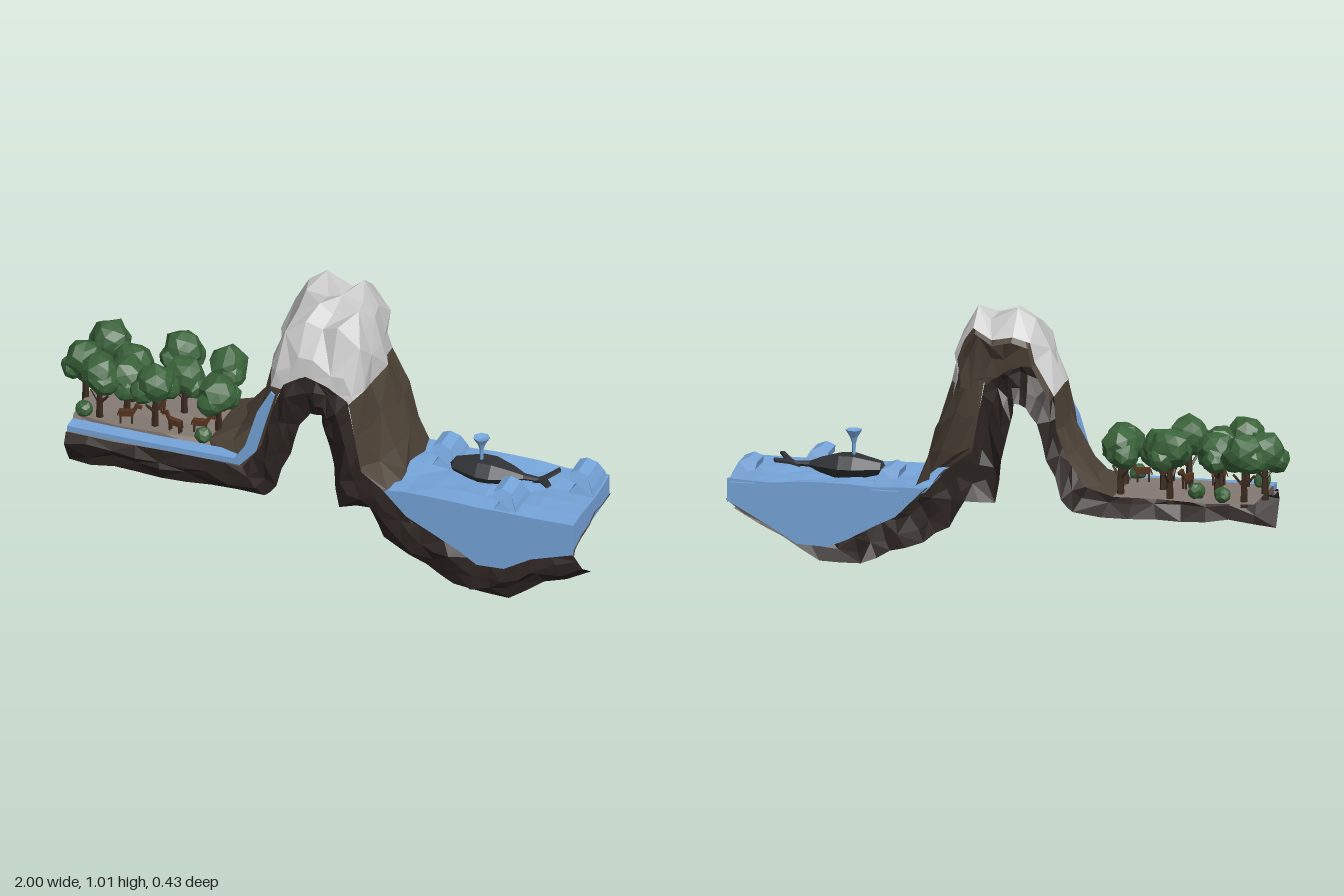
import * as THREE from 'three';

let seed = 7;
const rnd = () => { seed = (seed * 16807) % 2147483647; return seed / 2147483647 - 0.5; };
const mat = color => new THREE.MeshStandardMaterial({ color, flatShading: true, side: THREE.DoubleSide });
const M = {
  rock: mat(0x4d4237), band: mat(0x2d2522), snow: mat(0xd6d6d6), ground: mat(0x857a73), bed: mat(0x4b4643),
  water: mat(0x76a5da), leaf: mat(0x3a633a), trunk: mat(0x3a2a1e), whale: mat(0x303236), hide: mat(0x55331f),
};

function add(parent, name, geo, material, x = 0, y = 0, z = 0) {
  const m = new THREE.Mesh(geo, material);
  m.name = name;
  m.position.set(x, y, z);
  parent.add(m);
  return m;
}

// Sheet through rows of points, limited to columns a..b
function sheet(rows, a = 0, b = rows[0].length - 1) {
  const pos = [], index = [], n = b - a + 1;
  rows.forEach(r => r.slice(a, b + 1).forEach(p => pos.push(...p)));
  for (let j = 0; j < rows.length - 1; j++) for (let i = 0; i < n - 1; i++) {
    const k = j * n + i;
    if ((i + j) % 2) index.push(k, k + 1, k + n, k + 1, k + n + 1, k + n);
    else index.push(k, k + 1, k + n + 1, k, k + n + 1, k + n);
  }
  const g = new THREE.BufferGeometry();
  g.setAttribute('position', new THREE.Float32BufferAttribute(pos, 3));
  g.setIndex(index);
  const flat = g.toNonIndexed();
  flat.computeVertexNormals();
  return flat;
}

function extrude(points, depth) {
  const s = new THREE.Shape(points.map(p => new THREE.Vector2(...p)));
  return new THREE.ExtrudeGeometry(s, { depth, bevelEnabled: false });
}

// Adds the midpoint of every segment of a line
const densify = line => line.flatMap((p, i) => i ? [p.map((v, c) => (v + line[i - 1][c]) / 2), p] : [p]);

// Ground, mountain and lake bed: front and rear profiles blended over z
const frontLine = [[-0.92, 0.343], [-0.75, 0.343], [-0.58, 0.343], [-0.4, 0.343], [-0.27, 0.345], [-0.2, 0.45],
  [-0.155, 0.62], [-0.13, 0.69], [-0.12, 0.71], [-0.1, 0.725], [-0.06, 0.75], [-0.02, 0.755], [0.04, 0.735],
  [0.08, 0.71], [0.1, 0.7], [0.12, 0.68], [0.14, 0.56], [0.165, 0.42], [0.24, 0.365],
  [0.35, 0.255], [0.44, 0.21], [0.52, 0.17], [0.59, 0.13], [0.7, 0.135], [0.8, 0.19], [0.87, 0.22], [0.95, 0.25]];
const rearLine = [[-0.92, 0.38], [-0.75, 0.375], [-0.58, 0.38], [-0.42, 0.38], [-0.35, 0.42], [-0.27, 0.52],
  [-0.235, 0.62], [-0.21, 0.74], [-0.165, 0.86], [-0.125, 0.95], [-0.05, 0.985], [0.02, 0.965], [0.085, 0.995],
  [0.135, 0.9], [0.15, 0.8], [0.165, 0.71], [0.21, 0.58], [0.24, 0.45], [0.28, 0.36],
  [0.35, 0.265], [0.44, 0.22], [0.52, 0.175], [0.59, 0.145], [0.7, 0.15], [0.8, 0.21], [0.87, 0.25], [0.95, 0.295]];

function buildTerrain(g) {
  const steps = [[0.187, 0], [0.18, 0.25], [0.12, 0.75], [0.045, 0.92], [-0.03, 1], [-0.1, 1.03], [-0.175, 0.84]];
  const rows = steps.map(([z, t], r) => frontLine.map(([x, y], i) => {
    const [bx, by] = rearLine[i];
    const plain = i < 4, lake = i > 17, peak = i > 6 && i < 16;
    const w = r === 0 ? 0 : plain ? 0.006 : lake ? 0.028 : 0.04;
    const inner = r > 1 && r < steps.length - 1 ? 0.025 : 0;
    // The stream channel stays low along the front of the plain
    const u = plain ? (r < 2 ? 0 : 1) : lake ? Math.min(1, t * 1.3) : t;
    const edge = i === 0 || i === 26 ? 0 : w;
    return [x + (bx - x) * u + rnd() * edge, y + (by - y) * u + rnd() * w * (peak ? 1.2 : 1),
      (plain && r === 1 ? 0.132 : z) + rnd() * inner];
  }));
  add(g, 'ground', sheet(rows, 0, 3), M.ground);
  add(g, 'leftSlope', sheet(rows, 3, 7), M.rock);
  add(g, 'snowCap', sheet(rows, 7, 15), M.snow);
  add(g, 'rightSlope', sheet(rows, 15, 18), M.rock);
  add(g, 'lakeBed', sheet([...rows].reverse(), 18, 26), M.bed);
  // Rock lining beneath the snow
  const lining = rows.map(r => r.map(([x, y, z]) => [x * 0.93, y - 0.02, z - 0.002]));
  add(g, 'innerRock', sheet(lining, 7, 15), M.rock);
}

// Rough dark rock along the cut front
function buildCutFace(g) {
  const top = densify([[-0.92, 0.35], [-0.75, 0.345], [-0.58, 0.35], [-0.4, 0.35], [-0.27, 0.345], [-0.2, 0.45],
    [-0.155, 0.62], [-0.12, 0.71], [-0.04, 0.76], [0.04, 0.735], [0.115, 0.69], [0.14, 0.56], [0.165, 0.42],
    [0.24, 0.367], [0.33, 0.275], [0.42, 0.23], [0.52, 0.18], [0.59, 0.135], [0.69, 0.14], [0.79, 0.2], [0.945, 0.25]]);
  const low = densify([[-0.92, 0.22], [-0.75, 0.23], [-0.58, 0.225], [-0.4, 0.225], [-0.2, 0.23], [-0.16, 0.28],
    [-0.11, 0.42], [-0.07, 0.54], [-0.03, 0.6], [0.01, 0.6], [0.02, 0.54], [0.05, 0.4], [0.08, 0.25], [0.18, 0.25],
    [0.24, 0.16], [0.33, 0.1], [0.45, 0.06], [0.55, 0.005], [0.7, 0.005], [0.82, 0.09], [1, 0.18]]);
  const rows = [[0, 0.187], [0.3, 0.197], [0.65, 0.187], [1, 0.158]].map(([t, z]) => top.map(([x, y], i) => {
    const w = t === 0 ? 0 : t === 1 ? 0.4 : 1;
    const end = i === 0 || i === top.length - 1 ? 0 : w;
    return [x + (low[i][0] - x) * t + rnd() * 0.016 * end, y + (low[i][1] - y) * t + rnd() * 0.032 * end,
      z + rnd() * (t ? 0.03 : 0)];
  }));
  add(g, 'cutFace', sheet(rows.reverse()), M.band);
}

function buildWater(g) {
  // Lake body: front wall, rippled top, rear wall and end wall
  const frontFoot = [[0.245, 0.362], [0.33, 0.268], [0.42, 0.223], [0.52, 0.173], [0.59, 0.128], [0.69, 0.133], [0.79, 0.19], [0.945, 0.245]];
  const rearFoot = [[0.27, 0.36], [0.35, 0.265], [0.44, 0.22], [0.52, 0.175], [0.59, 0.145], [0.7, 0.15], [0.8, 0.21], [0.945, 0.29]];
  const tops = [0.186, 0.11, 0.04, -0.03, -0.1, -0.174].map(z => frontFoot.map(([x]) => [x, 0.366 + rnd() * 0.014, z]));
  const foot = (line, z) => line.map(([x, y]) => [x, y, z]);
  add(g, 'lake', sheet([foot(frontFoot, 0.186), ...tops, foot(rearFoot, -0.174)]), M.water);
  const end = tops.map(r => r[7]);
  add(g, 'lakeEnd', sheet([end.map(([x, , z], i) => [x, i ? 0.285 : 0.245, z]), end]), M.water);
  const stream = [[-0.915, 0.374], [-0.6, 0.371], [-0.3, 0.375], [-0.262, 0.43], [-0.217, 0.58], [-0.168, 0.67],
    [-0.152, 0.66], [-0.185, 0.55], [-0.22, 0.42], [-0.28, 0.352], [-0.915, 0.352]];
  add(g, 'streamAndWaterfall', extrude(stream, 0.054), M.water, 0, 0, 0.134);
  // Curling waves, narrower at the crest
  const curl = [[-0.05, -0.01], [-0.02, 0.03], [-0.045, 0.035], [-0.05, 0.06], [-0.02, 0.075], [0.015, 0.06], [0.035, 0.02], [0.045, -0.01]];
  for (const [x, z] of [[0.39, -0.1], [0.69, 0.105], [0.895, -0.1]]) {
    const geo = extrude(curl, 0.15).translate(0, 0, -0.075);
    const p = geo.attributes.position;
    for (let i = 0; i < p.count; i++) p.setZ(i, p.getZ(i) * (1 - 5.5 * Math.max(0, p.getY(i))));
    geo.computeVertexNormals();
    add(g, 'wave', geo, M.water, x, 0.365, z);
  }
}

function buildWhale(g) {
  const w = new THREE.Group();
  w.name = 'whale';
  w.position.set(0.56, 0.397, -0.015);
  const profile = [[0.001, -0.14], [0.03, -0.125], [0.06, -0.03], [0.06, 0.02], [0.035, 0.09], [0.014, 0.13], [0.01, 0.185]];
  const body = new THREE.LatheGeometry(profile.map(p => new THREE.Vector2(...p)), 6).rotateZ(-Math.PI / 2).scale(1, 0.78, 1.08);
  add(w, 'body', body, M.whale);
  const fluke = [[-0.02, -0.008], [0.015, -0.02], [0.06, -0.068], [0.07, -0.045], [0.035, 0], [0.07, 0.05], [0.06, 0.07], [0.015, 0.02], [-0.02, 0.008]];
  add(w, 'tailFluke', extrude(fluke, 0.008).rotateX(Math.PI / 2), M.whale, 0.18, 0.002, 0).rotation.z = 0.35;
  g.add(w);
  const jet = [[0.006, 0], [0.007, 0.04], [0.014, 0.062], [0.03, 0.088], [0.001, 0.08]];
  add(g, 'spout', new THREE.LatheGeometry(jet.map(p => new THREE.Vector2(...p)), 7), M.water, 0.535, 0.438, -0.01);
}

// Faceted ball with a shared lump per direction
function clump(r, k) {
  const geo = new THREE.IcosahedronGeometry(r, 1), p = geo.attributes.position;
  for (let i = 0; i < p.count; i++) {
    const [x, y, z] = [p.getX(i), p.getY(i), p.getZ(i)];
    const f = 1 + 0.12 * Math.sin(x / r * 5 + k) * Math.cos(z / r * 4 + y / r * 3 + k * 2);
    p.setXYZ(i, x * f, y * f, z * f);
  }
  geo.computeVertexNormals();
  return geo;
}

function buildForest(g) {
  const trees = [[-0.875, -0.135, 0.55], [-0.615, -0.145, 0.555], [-0.435, -0.12, 0.55], [-0.92, -0.01, 0.53],
    [-0.76, -0.045, 0.53], [-0.565, -0.03, 0.53], [-0.415, 0.035, 0.525], [-0.83, 0.095, 0.555], [-0.63, 0.085, 0.55], [-0.75, 0.04, 0.53]];
  trees.forEach(([x, z, y], k) => {
    const tree = new THREE.Group();
    tree.name = 'tree';
    tree.position.set(x, 0, z);
    add(tree, 'trunk', new THREE.CylinderGeometry(0.009, 0.014, 0.14, 5), M.trunk, 0, 0.43, 0);
    for (const s of [-1, 1]) {
      const limb = add(tree, 'branch', new THREE.CylinderGeometry(0.004, 0.007, 0.06, 5), M.trunk, s * 0.018, 0.452, 0);
      limb.rotation.z = -s * 0.75;
    }
    add(tree, 'foliage', clump(0.07, k), M.leaf, 0, y, 0);
    add(tree, 'foliage', clump(0.047, k + 3), M.leaf, 0.036, y - 0.028, 0.018);
    add(tree, 'foliage', clump(0.047, k + 5), M.leaf, -0.036, y - 0.022, -0.015);
    tree.rotation.y = k * 1.3;
    g.add(tree);
  });
  for (const [x, z] of [[-0.885, 0.1], [-0.44, 0.12], [-0.7, -0.1], [-0.8, -0.14]])
    add(g, 'bush', clump(0.03, x * 30), M.leaf, x, 0.4, z);
}

// Small grazing animals
function buildAnimals(g) {
  for (const [x, z, turn] of [[-0.73, 0.1, 0.3], [-0.55, 0.1, 2.9], [-0.47, 0.07, 0.2], [-0.64, 0.02, 1.2]]) {
    const a = new THREE.Group();
    a.name = 'grazingAnimal';
    a.position.set(x, 0.375, z);
    a.rotation.y = turn;
    add(a, 'body', new THREE.BoxGeometry(0.05, 0.022, 0.018), M.hide, 0, 0.042, 0);
    add(a, 'neck', new THREE.BoxGeometry(0.012, 0.032, 0.01), M.hide, 0.029, 0.056, 0).rotation.z = -0.5;
    add(a, 'head', new THREE.BoxGeometry(0.024, 0.011, 0.011), M.hide, 0.042, 0.068, 0).rotation.z = -0.4;
    add(a, 'tail', new THREE.BoxGeometry(0.004, 0.022, 0.004), M.trunk, -0.028, 0.04, 0).rotation.z = -0.3;
    for (const sx of [-1, 1]) for (const sz of [-1, 1])
      add(a, 'leg', new THREE.BoxGeometry(0.006, 0.038, 0.005), M.trunk, sx * 0.02, 0.016, sz * 0.006);
    g.add(a);
  }
}

export function createModel() {
  const g = new THREE.Group();
  g.name = 'landscape';
  seed = 7;
  [buildTerrain, buildCutFace, buildWater, buildWhale, buildForest, buildAnimals].forEach(build => build(g));
  return g;
}
